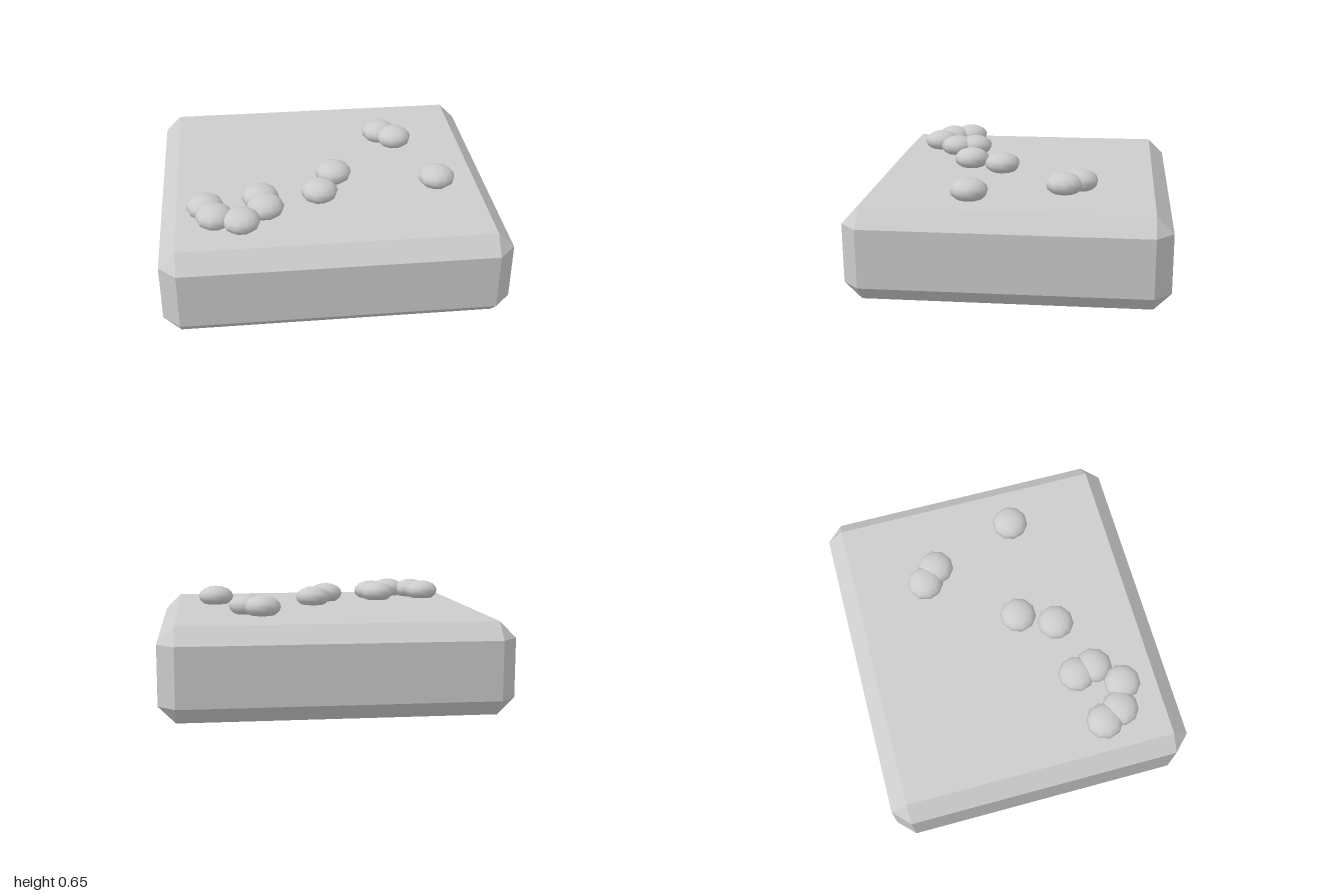
import * as THREE from 'three';
import { ConvexGeometry } from 'three/addons/geometries/ConvexGeometry.js';

// Box with a single flat chamfer along every edge and a triangle at each corner
function chamferedBox(halfX, halfY, halfZ, bevel) {
  const points = [];
  for (const sx of [-1, 1]) for (const sy of [-1, 1]) for (const sz of [-1, 1]) {
    for (let axis = 0; axis < 3; axis++) {
      const inset = [bevel, bevel, bevel];
      inset[axis] = 0;
      points.push(new THREE.Vector3(
        sx * (halfX - inset[0]), sy * (halfY - inset[1]), sz * (halfZ - inset[2])));
    }
  }
  return new ConvexGeometry(points);
}

export function createModel() {
  const group = new THREE.Group();
  const stone = new THREE.MeshStandardMaterial({ color: 0xcccccc });
  stone.name = 'grey stone';

  // Slab
  const height = 0.535;
  const slab = new THREE.Mesh(chamferedBox(1, height / 2, 0.91, 0.097), stone);
  slab.name = 'slab';
  slab.position.y = height / 2;
  group.add(slab);

  // Flattened pebbles resting on the slab, as [x, z]
  const pebbleGeometry = new THREE.SphereGeometry(0.11, 10, 8);
  const spots = [
    [0.4, -0.38], [0.485, -0.295], [0.045, 0.117], [-0.06, 0.325], [0.662, 0.234],
    [-0.733, 0.43], [-0.68, 0.543], [-0.53, 0.602], [-0.412, 0.353], [-0.387, 0.468],
  ];
  const pebbles = new THREE.Group();
  pebbles.name = 'pebbles';
  for (const [x, z] of spots) {
    const pebble = new THREE.Mesh(pebbleGeometry, stone);
    pebble.name = 'pebble';
    pebble.position.set(x, 0.583, z);
    pebble.scale.y = 0.6;
    pebbles.add(pebble);
  }
  group.add(pebbles);
  return group;
}
